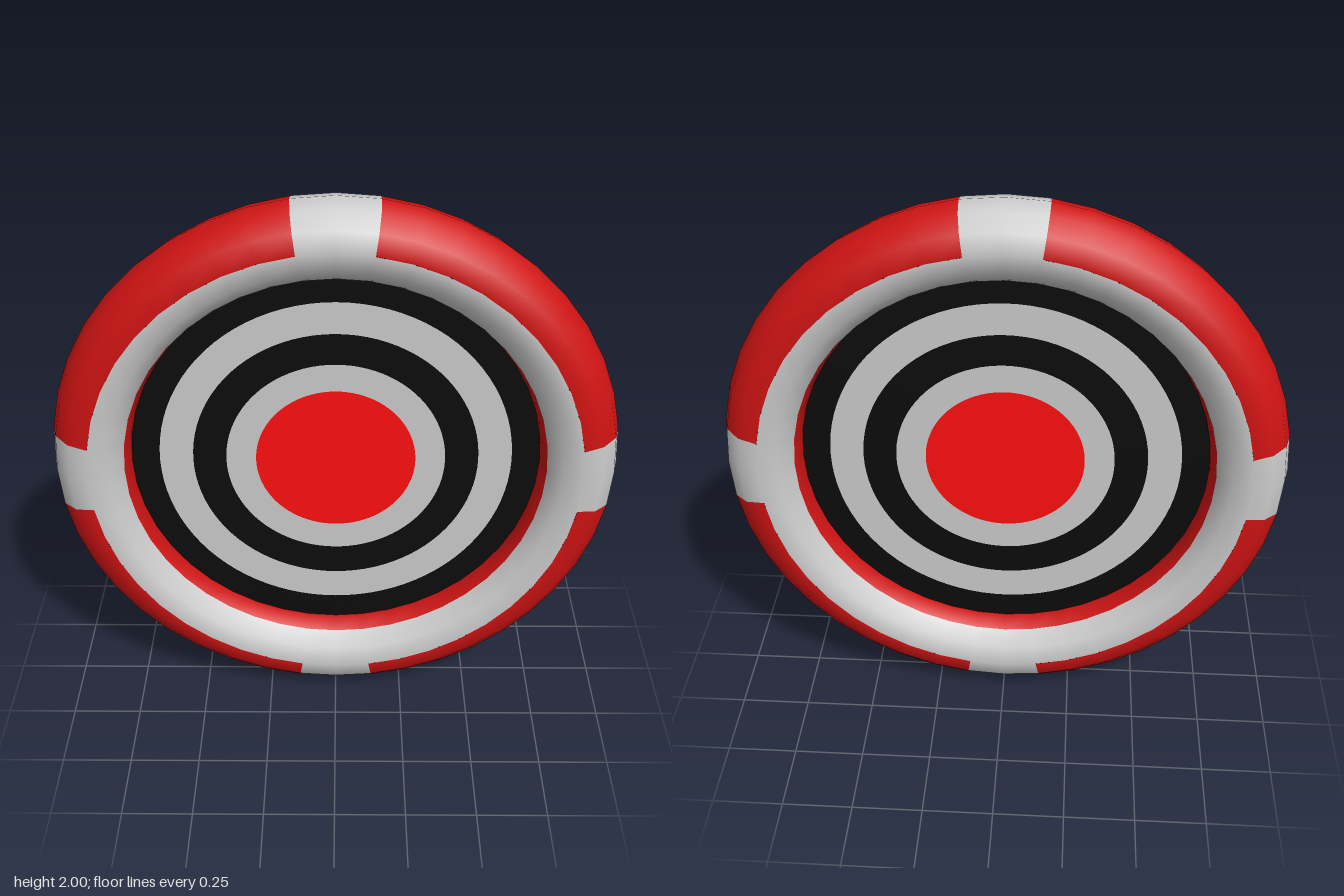
import * as THREE from 'three';

const R = 0.863, r = 0.137, TAU = Math.PI * 2, rad = THREE.MathUtils.degToRad;

// Patch of a torus: p runs around the ring, t around the tube (degrees, 0 = outermost)
function torusPatch(p0, p1, pSegs, t0, t1, tSegs) {
  const g = new THREE.PlaneGeometry(1, 1, pSegs, tSegs);
  const { position, normal, uv } = g.attributes;
  for (let i = 0; i < position.count; i++) {
    const p = rad(p0 + (p1 - p0) * uv.getX(i));
    const t = rad(t0 + (t1 - t0) * uv.getY(i));
    const d = R + r * Math.cos(t);
    position.setXYZ(i, d * Math.cos(p), d * Math.sin(p), r * Math.sin(t));
    normal.setXYZ(i, Math.cos(t) * Math.cos(p), Math.cos(t) * Math.sin(p), Math.sin(t));
  }
  return g;
}

export function createModel() {
  const model = new THREE.Group();
  model.name = 'targetRing';
  const mat = (color) => new THREE.MeshStandardMaterial({ color });
  const white = mat(0xcccccc), red = mat(0xd01313);

  const ring = new THREE.Group();
  ring.name = 'ring';
  const add = (name, geometry, material, parent = ring) => {
    const mesh = new THREE.Mesh(geometry, material);
    mesh.name = name;
    parent.add(mesh);
  };

  // Outer half of the tube: four white bands with red quarters between them
  const half = 8.4;
  for (let q = 0; q < 4; q++) {
    const a = q * 90;
    add('whiteBand', torusPatch(a - half, a + half, 2, -90, 90, 6), white);
    add('redQuarter', torusPatch(a + half, a + 90 - half, 9, -90, 90, 6), red);
  }

  // Inner half: white slopes on both faces, red strip along the innermost edge
  add('frontInnerSlope', torusPatch(0, 360, 44, 90, 150, 2), white);
  add('innerStrip', torusPatch(0, 360, 44, 150, 210, 2), red);
  add('backInnerSlope', torusPatch(0, 360, 44, 210, 270, 2), white);
  model.add(ring);

  // Flat target disc made of concentric rings, seen from both sides
  const target = new THREE.Group();
  target.name = 'targetDisc';
  const radii = [0, 0.284, 0.39, 0.508, 0.627, 0.728];
  const colors = [0xff0f0f, 0xcccccc, 0x0c0c0c, 0xcccccc, 0x0c0c0c];
  colors.forEach((color, i) => {
    const material = mat(color);
    material.side = THREE.DoubleSide;
    const geometry = i === 0
      ? new THREE.CircleGeometry(radii[1], 88)
      : new THREE.RingGeometry(radii[i], radii[i + 1], 88, 1, 0, TAU);
    add(i === 0 ? 'bullseye' : 'targetRing' + i, geometry, material, target);
  });
  model.add(target);

  ring.position.y = target.position.y = 1;
  return model;
}
